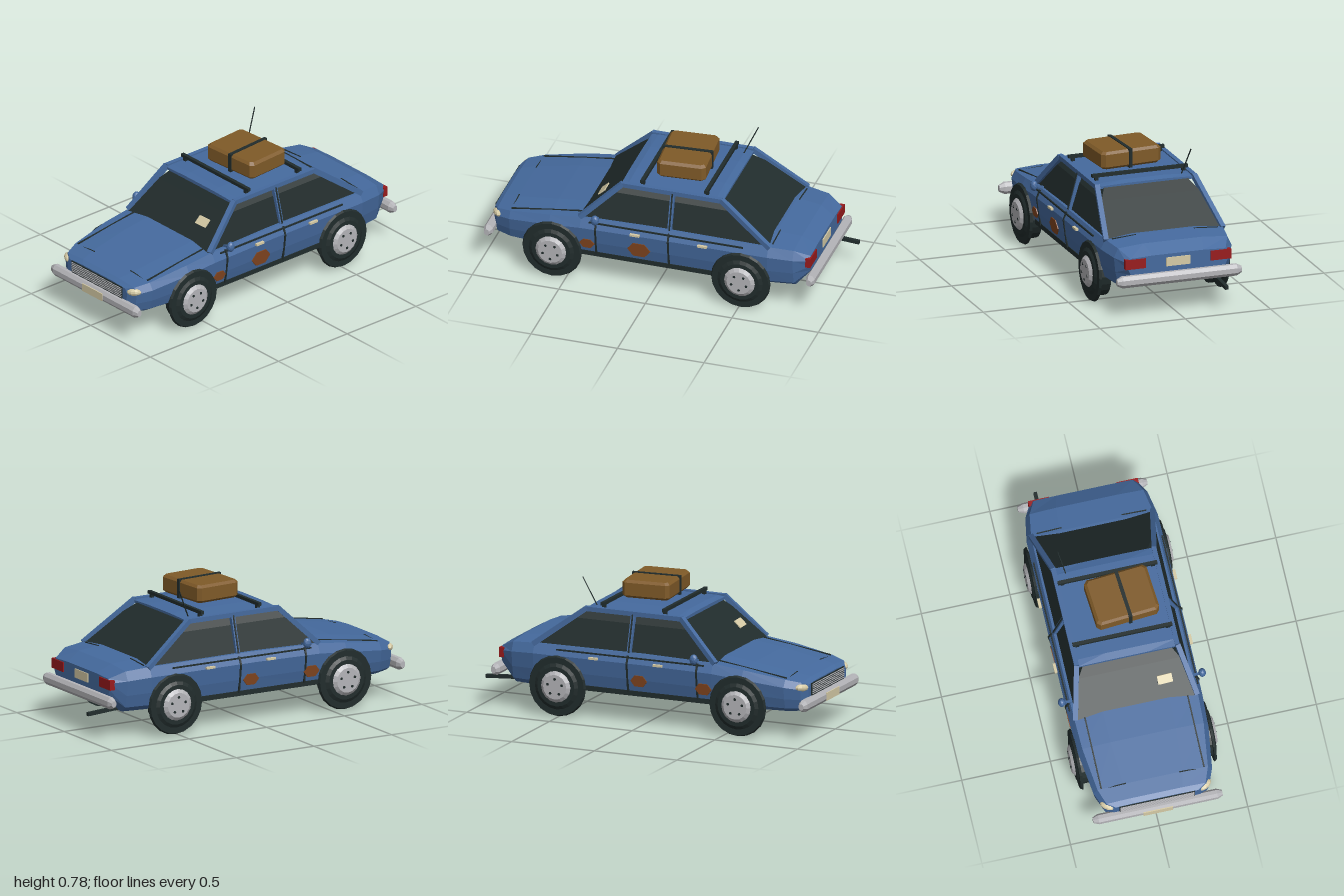
import * as THREE from 'three';

const paint = (name, color) => Object.assign(new THREE.MeshStandardMaterial({ color }), { name });

export function createModel() {
  const car = new THREE.Group();
  car.name = 'oldSedan';
  const blue = paint('bodyBlue', 0x456a9e);
  const dark = paint('darkTrim', 0x212c2c);
  const chrome = paint('chrome', 0xb4b4b8);
  const cream = paint('cream', 0xd6cba6);
  const red = paint('tailRed', 0x981a1c);
  const rust = paint('rust', 0x81451f);
  const leather = paint('leather', 0x7f5a28);

  // faceted mesh
  const add = (name, geo, mat, parent = car) => {
    const g = geo.index ? geo.toNonIndexed() : geo;
    g.computeVertexNormals();
    const mesh = new THREE.Mesh(g, mat);
    mesh.name = name;
    parent.add(mesh);
    return mesh;
  };
  const box = (name, mat, size, pos, parent = car) => {
    const m = add(name, new THREE.BoxGeometry(...size), mat, parent);
    m.position.set(...pos);
    return m;
  };
  // straight bar between two points
  const bar = (name, mat, a, b, w, h = w) => {
    const p = new THREE.Vector3(...a), q = new THREE.Vector3(...b);
    const m = add(name, new THREE.BoxGeometry(w, h, p.distanceTo(q)), mat);
    m.position.copy(p).lerp(q, 0.5);
    m.lookAt(q);
    return m;
  };
  // closed skin through rings of points, capped at both ends
  const loft = (rings) => {
    const v = [], n = rings[0].length;
    const centre = (r) => [0, 1, 2].map((k) => r.reduce((s, p) => s + p[k], 0) / n);
    const c0 = centre(rings[0]), last = rings[rings.length - 1], c1 = centre(last);
    for (let j = 0; j < n; j++) {
      const k = (j + 1) % n;
      for (let i = 0; i < rings.length - 1; i++) {
        const [a, b, c, d] = [rings[i][j], rings[i][k], rings[i + 1][k], rings[i + 1][j]];
        v.push(...a, ...b, ...c, ...a, ...c, ...d);
      }
      v.push(...c0, ...rings[0][k], ...rings[0][j], ...c1, ...last[j], ...last[k]);
    }
    const g = new THREE.BufferGeometry();
    g.setAttribute('position', new THREE.Float32BufferAttribute(v, 3));
    return g;
  };
  const mirrored = (half) => [...half, ...half.map(([x, y, z]) => [-x, y, z]).reverse()];

  // lower body: z, half width, bottom, top
  const profile = [[0.82, 0], [0.93, 0.12], [0.975, 0.4], [1, 0.74], [0.93, 0.95], [0.5, 1]];
  const stations = [
    [-0.885, 0.3, 0.24, 0.35], [-0.8, 0.345, 0.15, 0.397], [-0.66, 0.37, 0.15, 0.41],
    [0, 0.375, 0.15, 0.413], [0.42, 0.375, 0.15, 0.405], [0.6, 0.368, 0.15, 0.383],
    [0.84, 0.335, 0.15, 0.345], [0.925, 0.3, 0.155, 0.328], [0.952, 0.25, 0.18, 0.312],
  ];
  add('body', loft(stations.map(([z, w, b, t]) =>
    mirrored(profile.map(([x, y]) => [x * w, b + y * (t - b), z])))), blue);

  // glass cabin: y, half width, front z, back z
  add('windows', loft([[0.385, 0.338, 0.445, -0.68], [0.55, 0.287, 0.258, -0.45], [0.6, 0.247, 0.203, -0.38]]
    .map(([y, x, f, b]) => [[x, y, f], [x, y, b], [-x, y, b], [-x, y, f]])), dark);

  // roof panel
  add('roof', loft([[-0.38, 0], [-0.34, 1], [0.17, 1], [0.21, 0]].map(([z, k]) =>
    mirrored([[0.278, 0.594, z], [0.278, 0.608 + k * 0.005, z], [0.12, 0.613 + k * 0.009, z]]))), blue);

  for (const s of [1, -1]) {
    // pillars and roof edges
    bar('frontPillar', blue, [s * 0.342, 0.39, 0.43], [s * 0.284, 0.612, 0.2], 0.028);
    bar('rearPillar', blue, [s * 0.342, 0.39, -0.67], [s * 0.284, 0.612, -0.37], 0.028);
    bar('roofEdge', blue, [s * 0.284, 0.608, 0.205], [s * 0.284, 0.608, -0.375], 0.026);
    bar('middlePillar', blue, [s * 0.337, 0.4, -0.09], [s * 0.281, 0.605, -0.09], 0.024);
    bar('pillarSeam', dark, [s * 0.35, 0.4, -0.09], [s * 0.294, 0.605, -0.09], 0.008);

    // door seams, sill and handles
    for (const z of [0.33, -0.09]) {
      bar('doorSeamLower', dark, [s * 0.353, 0.18, z], [s * 0.375, 0.34, z], 0.01);
      bar('doorSeamUpper', dark, [s * 0.375, 0.34, z], [s * 0.358, 0.385, z], 0.01);
    }
    bar('beltSeam', dark, [s * 0.362, 0.376, 0.37], [s * 0.362, 0.376, -0.52], 0.008);
    bar('sill', dark, [s * 0.343, 0.174, 0.42], [s * 0.343, 0.174, -0.36], 0.02, 0.028);
    for (const z of [0.1, -0.29]) box('doorHandle', cream, [0.016, 0.012, 0.055], [s * 0.382, 0.353, z]);

    // hood and trunk seams
    bar('hoodSideSeam', dark, [s * 0.29, 0.397, 0.43], [s * 0.29, 0.339, 0.84], 0.008);
    bar('hoodFrontSeam', dark, [s * 0.15, 0.345, 0.84], [s * 0.305, 0.331, 0.84], 0.006);
    bar('trunkSeam', dark, [s * 0.17, 0.409, -0.675], [s * 0.31, 0.4, -0.675], 0.006);

    // mirror
    const mirror = add('sideMirror', new THREE.IcosahedronGeometry(1, 1), blue);
    mirror.scale.set(0.021, 0.031, 0.024);
    mirror.position.set(s * 0.396, 0.415, 0.325);
    bar('mirrorArm', blue, [s * 0.34, 0.4, 0.325], [s * 0.39, 0.415, 0.325], 0.012);

    // lamps
    const lamp = add('headlight', new THREE.SphereGeometry(1, 10, 6), cream);
    lamp.scale.set(0.042, 0.021, 0.022);
    lamp.position.set(s * 0.277, 0.291, 0.925);
    lamp.rotation.set(0, s * 0.6, s * 0.08);
    box('tailLight', red, [0.12, 0.055, 0.03], [s * 0.25, 0.312, -0.877]);

    // wheels
    for (const z of [0.58, -0.51]) {
      const wheel = new THREE.Group();
      wheel.name = 'wheel';
      wheel.position.set(s * 0.345, 0.174, z);
      wheel.rotation.z = -s * Math.PI / 2;
      car.add(wheel);
      const disc = (name, mat, rOut, rIn, h, y, n) => {
        const m = add(name, new THREE.CylinderGeometry(rOut, rIn, h, n), mat, wheel);
        m.position.y = y;
        return m;
      };
      disc('tyre', dark, 0.14, 0.14, 0.075, -0.004, 20);
      disc('tyreRim', dark, 0.165, 0.172, 0.014, 0.032, 20);
      disc('tyreWall', dark, 0.112, 0.135, 0.012, 0.043, 20);
      disc('hubcap', chrome, 0.07, 0.093, 0.018, 0.055, 16);
      for (let i = 0; i < 5; i++) {
        const a = (i / 5) * Math.PI * 2, lug = disc('wheelNut', dark, 0.008, 0.008, 0.004, 0.065, 6);
        lug.position.x = Math.cos(a) * 0.045;
        lug.position.z = Math.sin(a) * 0.045;
      }
    }
  }

  // rust patches
  for (const [s, z, y, r] of [[1, 0.08, 0.255, 0.066], [1, 0.38, 0.243, 0.043], [-1, -0.02, 0.25, 0.05], [-1, 0.37, 0.245, 0.05]]) {
    const patch = add('rustPatch', new THREE.CylinderGeometry(r, r, 0.008, 6), rust);
    patch.rotation.z = Math.PI / 2 - s * 0.08;
    patch.scale.x = 0.72;
    patch.position.set(s * 0.367, y, z);
  }

  // bumpers with tapered ends
  const bumper = (name, y0, z0) => add(name, loft([[-0.365, 0.55], [-0.335, 1], [0.335, 1], [0.365, 0.55]]
    .map(([x, k]) => Array.from({ length: 8 }, (_, i) => {
      const a = ((i + 0.5) / 8) * Math.PI * 2;
      return [x, y0 + Math.sin(a) * 0.035 * k, z0 - Math.cos(a) * 0.028 * k];
    }))), chrome);
  bumper('frontBumper', 0.203, 0.96);
  bumper('rearBumper', 0.22, -0.9);
  box('frontPlate', cream, [0.166, 0.045, 0.006], [-0.002, 0.203, 0.987]);
  box('rearPlate', cream, [0.14, 0.05, 0.008], [0, 0.305, -0.887]);

  // grille
  box('grille', dark, [0.424, 0.07, 0.03], [0, 0.271, 0.942]);
  for (let i = 0; i < 6; i++) box('grilleSlat', chrome, [0.416, 0.005, 0.006], [0, 0.245 + i * 0.0105, 0.957]);

  // roof rack and strapped suitcase
  for (const z of [0.09, -0.28]) {
    box('rackBar', dark, [0.562, 0.018, 0.02], [0, 0.641, z]);
    for (const s of [1, -1]) box('rackFoot', dark, [0.02, 0.024, 0.018], [s * 0.255, 0.624, z]);
  }
  const luggage = new THREE.Group();
  luggage.name = 'luggage';
  luggage.position.set(0.038, 0.705, -0.1);
  luggage.rotation.y = 0.075;
  car.add(luggage);
  const slab = (y, x, z, c) => [[x, y, z - c], [x, y, c - z], [x - c, y, -z], [c - x, y, -z],
    [-x, y, c - z], [-x, y, z - c], [c - x, y, z], [x - c, y, z]];
  add('suitcase', loft([slab(-0.05, 0.165, 0.125, 0.015), slab(-0.036, 0.18, 0.138, 0.02),
    slab(0.036, 0.18, 0.138, 0.02), slab(0.05, 0.165, 0.125, 0.015)]), leather, luggage);
  box('strap', dark, [0.02, 0.108, 0.284], [0.01, 0, 0], luggage);

  // antenna, exhaust and the slip left on the windscreen
  bar('antenna', dark, [-0.222, 0.61, -0.335], [-0.252, 0.777, -0.412], 0.005);
  bar('exhaustPipe', dark, [-0.245, 0.168, -0.76], [-0.245, 0.152, -0.998], 0.02);
  box('paperSlip', cream, [0.083, 0.052, 0.006], [0.182, 0.494, 0.343]).rotation.set(-0.83, 0, 0.03);
  bar('wiper', dark, [0.14, 0.475, 0.352], [0.225, 0.477, 0.352], 0.006);

  return car;
}
